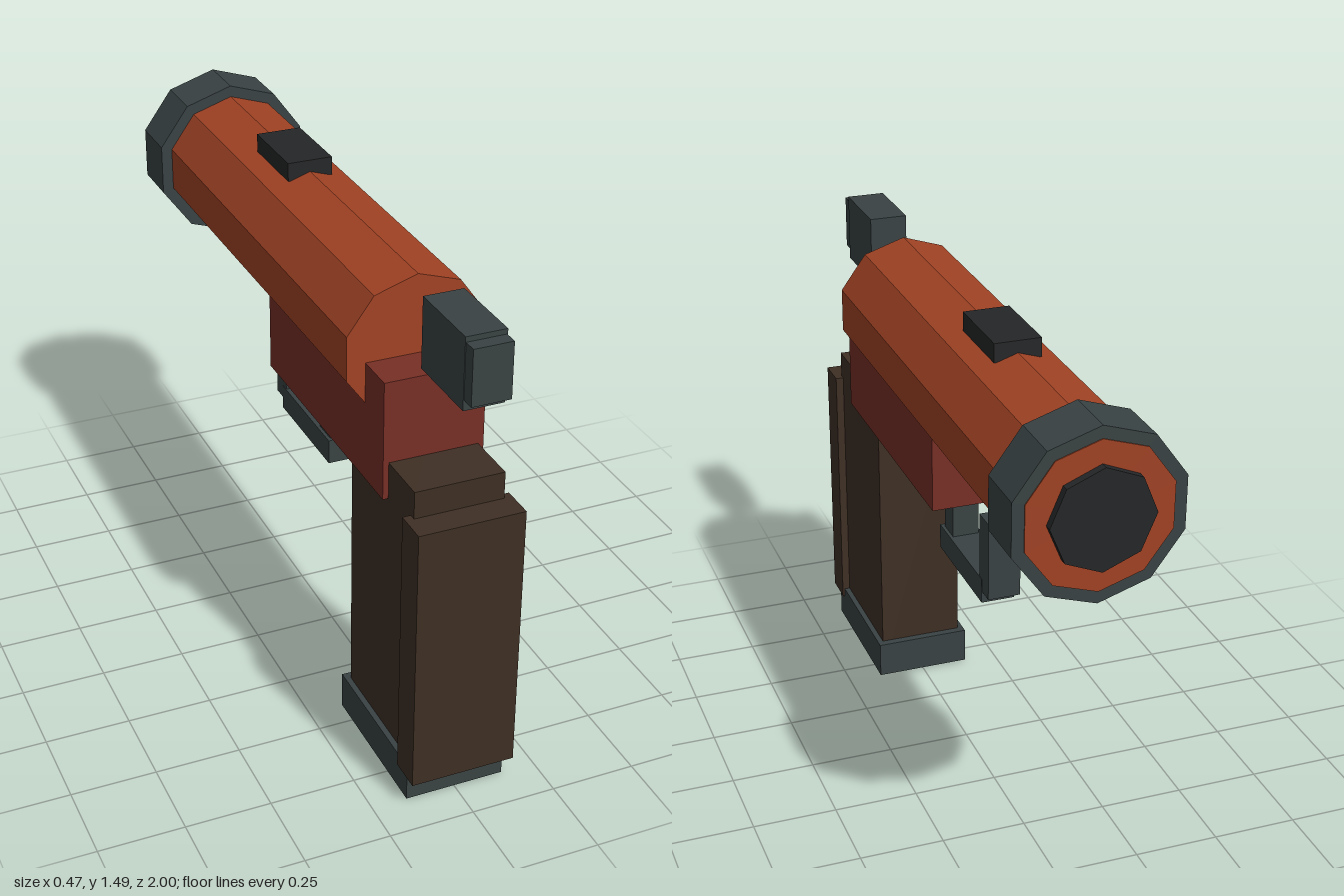
import * as THREE from 'three';

const paint = (name, color) => {
  const m = new THREE.MeshStandardMaterial({ color });
  m.name = name;
  m.flatShading = true;
  return m;
};

export function createModel() {
  const model = new THREE.Group();
  model.name = 'pistol';

  const orange = paint('rust orange', 0xa04224);
  const maroon = paint('maroon', 0x782f26);
  const brown = paint('dark brown', 0x3e2f24);
  const slate = paint('slate grey', 0x394243);
  const black = paint('black', 0x252627);

  const add = (name, geometry, material) => {
    const mesh = new THREE.Mesh(geometry, material);
    mesh.name = name;
    model.add(mesh);
  };

  // Box centred on x, given its width and its y and z ranges
  const box = (name, material, width, y0, y1, z0, z1) => {
    const g = new THREE.BoxGeometry(width, y1 - y0, z1 - z0);
    g.translate(0, (y0 + y1) / 2, (z0 + z1) / 2);
    add(name, g, material);
  };

  // Faceted tube lying along z on the barrel axis, one corner at the top
  const axisY = 1.24;
  const prism = (name, material, radius, sides, z0, z1) => {
    const g = new THREE.CylinderGeometry(radius, radius, z1 - z0, sides);
    g.rotateX(-Math.PI / 2);
    g.translate(0, axisY, (z0 + z1) / 2);
    add(name, g, material);
  };

  // Barrel, muzzle collar and bore plug
  prism('barrel', orange, 0.21, 10, -0.977, 0.57);
  prism('muzzleCollar', slate, 0.245, 10, -0.974, -0.812);
  prism('bore', black, 0.144, 8, -1, -0.9);

  // Sight and hammer
  box('topSight', black, 0.135, 1.43, 1.485, -0.405, -0.16);
  box('hammer', slate, 0.115, 1.26, 1.465, 0.72, 0.96);
  box('hammerSpur', slate, 0.111, 1.29, 1.45, 0.95, 1);

  // Receiver block under the barrel
  box('receiver', maroon, 0.292, 0.87, 1.22, -0.12, 0.69);

  // Grip, its back strap and base plate
  box('grip', brown, 0.26, 0, 0.98, 0.45, 0.85);
  box('backStrap', brown, 0.308, 0.088, 0.9, 0.83, 0.93);
  box('basePlate', slate, 0.294, 0.002, 0.115, 0.426, 0.88);

  // Trigger and open guard
  box('trigger', slate, 0.08, 0.69, 0.9, 0.005, 0.08);
  box('guardBar', slate, 0.1, 0.63, 0.706, -0.27, 0.095);
  box('guardPost', slate, 0.097, 0.665, 0.905, -0.32, -0.245);

  return model;
}
